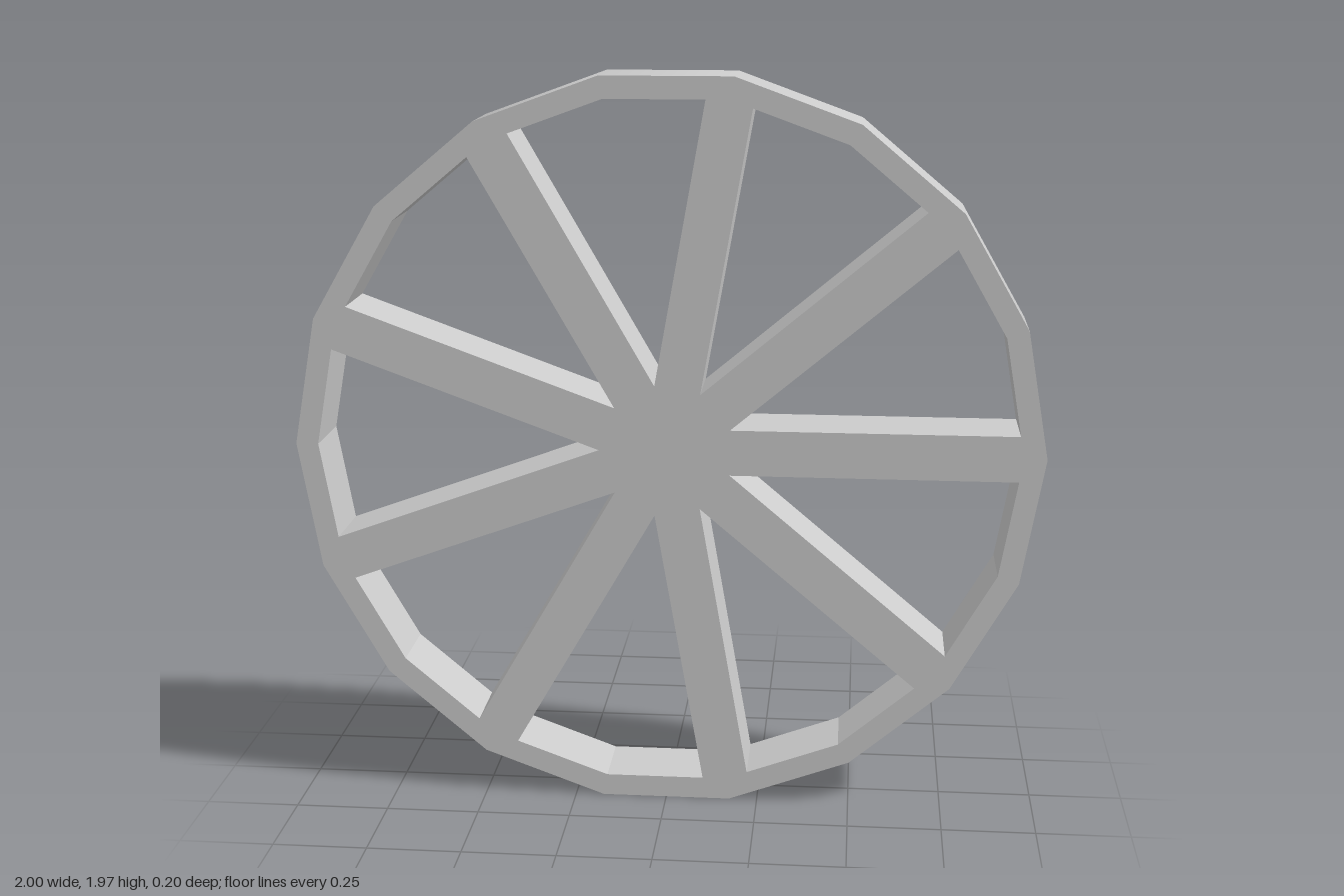
import * as THREE from 'three';

const SPOKES = 9, SIDES = 18;
const OUTER = 1, INNER = 0.94, HALF_SPOKE = 0.0615, DEPTH = 0.2;
const STEP = (Math.PI * 2) / SPOKES;

const polar = (r, a) => new THREE.Vector2(r * Math.cos(a), r * Math.sin(a));

// Opening between spoke k and the next one
function opening(k) {
  const a = k * STEP, mid = STEP / 2;
  // where the spoke's edge meets the inner side of the rim
  const corner = new THREE.Vector2(INNER - HALF_SPOKE * Math.tan(Math.PI / SIDES), HALF_SPOKE);
  const r = corner.length(), t = corner.angle();
  return new THREE.Path([
    polar(HALF_SPOKE / Math.sin(mid), a + mid), // tip at the hub
    polar(r, a + t),
    polar(INNER, a + mid),
    polar(r, a + STEP - t),
  ]);
}

export function createModel() {
  const group = new THREE.Group();
  group.name = 'wheel';

  // Rim, spokes and hub are one extruded plate with nine openings
  const shape = new THREE.Shape(
    Array.from({ length: SIDES }, (_, i) => polar(OUTER, (i / SIDES) * Math.PI * 2))
  );
  for (let k = 0; k < SPOKES; k++) shape.holes.push(opening(k));
  const geometry = new THREE.ExtrudeGeometry(shape, { depth: DEPTH, bevelEnabled: false });

  // Smooth the outer tread only; openings and faces stay flat
  const pos = geometry.attributes.position, nor = geometry.attributes.normal;
  for (let i = 0; i < pos.count; i++) {
    const x = pos.getX(i), y = pos.getY(i);
    if (Math.hypot(x, y) > OUTER - 0.01 && Math.abs(nor.getZ(i)) < 0.5) nor.setXYZ(i, x, y, 0);
  }

  // Stand the wheel on its flat bottom side
  geometry.translate(0, OUTER * Math.cos(Math.PI / SIDES), -DEPTH / 2);

  const wheel = new THREE.Mesh(geometry, new THREE.MeshStandardMaterial({ color: 0xcccccc }));
  wheel.name = 'rimAndSpokes';
  group.add(wheel);
  return group;
}
